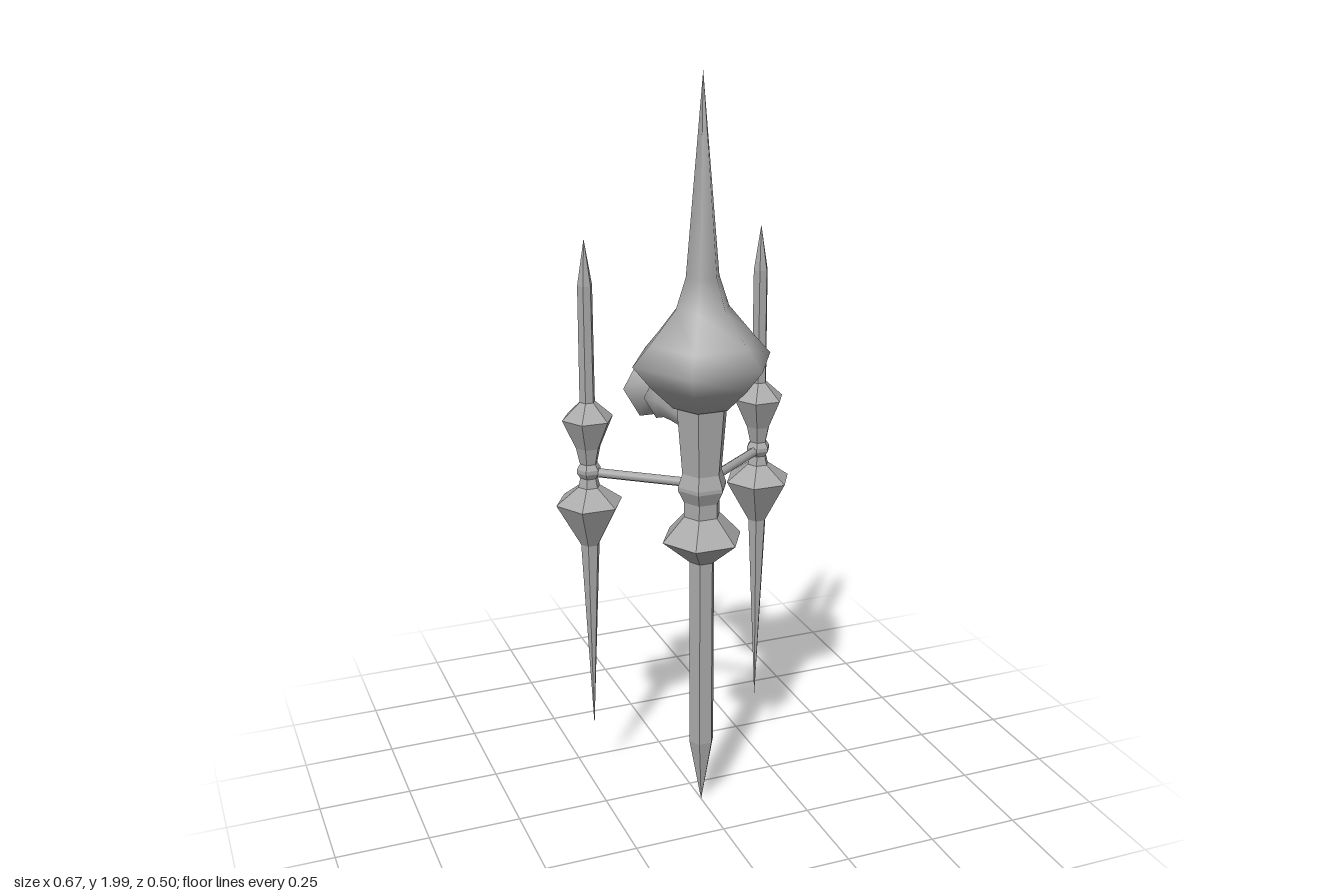
import * as THREE from 'three';

const stone = new THREE.MeshStandardMaterial({ color: 0xaaaaaa });
stone.name = 'grey stone';

// Six-sided turned shape from [radius, height] pairs, bottom to top
function turned(name, profile, smooth = false) {
  const points = profile.map(([r, y]) => new THREE.Vector2(r, y));
  let geo = new THREE.LatheGeometry(points, 6, Math.PI / 2);
  if (!smooth) {
    geo = geo.toNonIndexed();
    geo.computeVertexNormals();
  }
  const mesh = new THREE.Mesh(geo, stone);
  mesh.name = name;
  return mesh;
}

export function createModel() {
  const model = new THREE.Group();
  model.name = 'hanging spire';
  const centreZ = 0.087, sideX = 0.245, sideZ = -0.108;

  // Central column with its pointed lower shaft
  const column = turned('centralColumn', [
    [0, 0.01], [0.035, 0.2], [0.035, 0.735], [0.11, 0.8], [0.05, 0.865],
    [0.05, 0.905], [0.067, 0.94], [0.067, 0.95], [0.055, 0.985], [0.07, 1.165],
  ]);
  column.position.z = centreZ;

  // Smooth bulb roof tapering to a needle
  const dome = turned('bulbRoof', [
    [0, 1.165], [0.08, 1.165], [0.14, 1.225], [0.188, 1.285], [0.143, 1.335],
    [0.072, 1.42], [0.045, 1.5], [0, 2],
  ], true);
  dome.position.z = centreZ;

  // Flared horn pointing backwards
  const horn = turned('rearHorn', [
    [0.04, -0.07], [0.05, 0.076], [0.055, 0.12], [0.07, 0.158], [0.048, 0.2], [0.095, 0.254],
  ], true);
  horn.geometry.rotateX(-Math.PI / 2);
  horn.position.y = 1.12;
  const mouth = turned('hornMouth', [[0.095, 0.254], [0, 0.24]], true);
  mouth.geometry.rotateX(-Math.PI / 2);
  mouth.position.y = 1.12;
  model.add(column, dome, horn, mouth);

  // Side pinnacles and the arms that carry them
  for (const side of [1, -1]) {
    const label = side > 0 ? 'left' : 'right';
    const pinnacle = turned(label + 'Pinnacle', [
      [0, 0.19], [0.026, 0.745], [0.092, 0.865], [0.03, 0.91], [0.024, 0.935],
      [0.033, 0.95], [0.033, 0.96], [0.024, 0.975], [0.034, 1.02],
      [0.07, 1.1], [0.021, 1.145], [0.02, 1.455], [0, 1.575],
    ]);
    pinnacle.position.set(side * sideX, 0, sideZ);

    const length = Math.hypot(sideX, centreZ - sideZ);
    const armGeo = new THREE.CylinderGeometry(0.013, 0.013, length, 6);
    armGeo.rotateX(Math.PI / 2);
    const arm = new THREE.Mesh(armGeo, stone);
    arm.name = label + 'Arm';
    arm.position.set(side * sideX / 2, 0.95, (centreZ + sideZ) / 2);
    arm.rotation.y = Math.atan2(side * sideX, sideZ - centreZ);
    model.add(pinnacle, arm);
  }
  return model;
}
